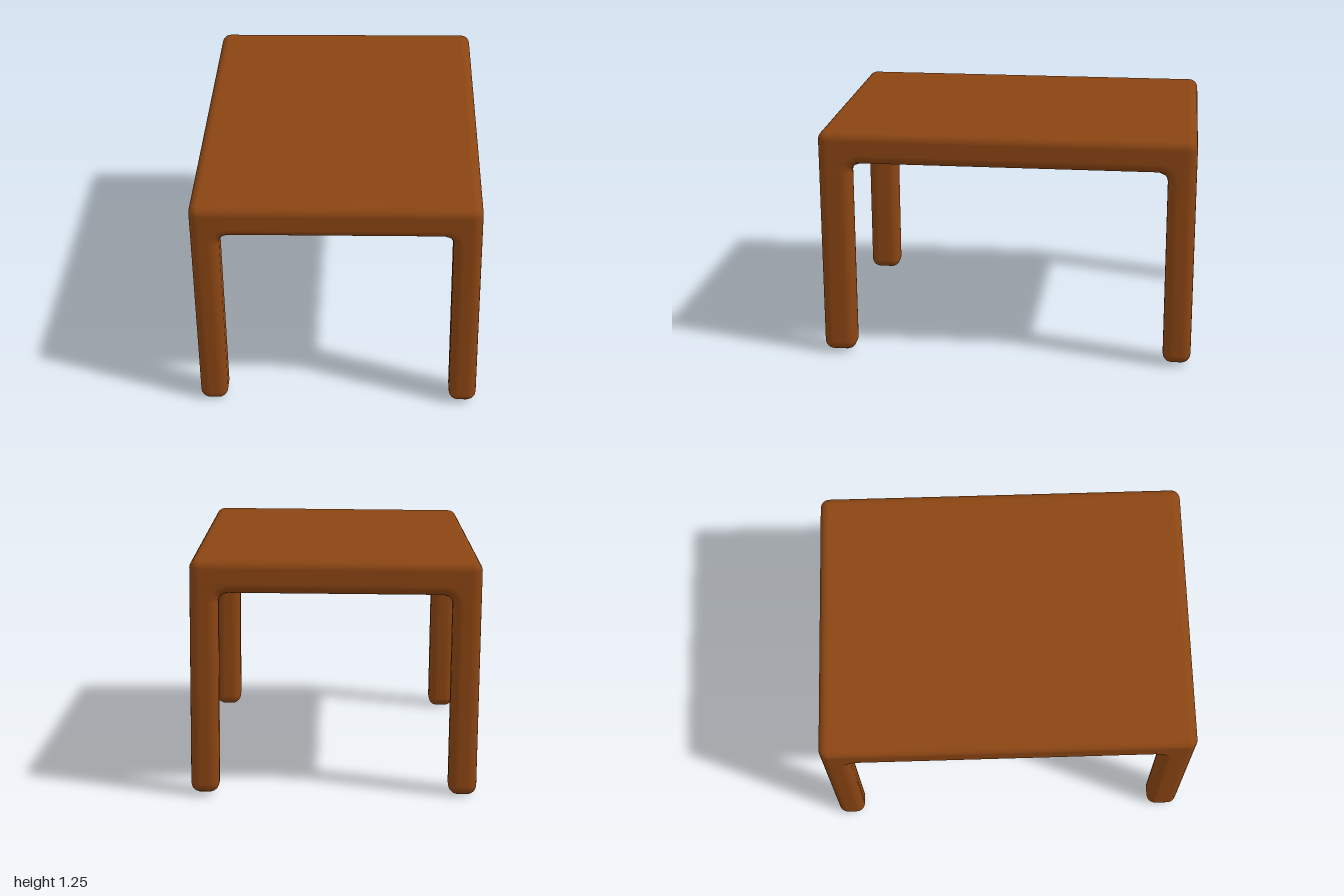
import * as THREE from 'three';
import { RoundedBoxGeometry } from 'three/addons/geometries/RoundedBoxGeometry.js';

const HALF_X = 0.748, HALF_Z = 1, HEIGHT = 1.24, UNDER = 1.063;
const EDGE = 0.05;    // rounding of the convex edges
const FILLET = 0.05;  // rounding where a leg meets the underside
const STEPS = 5;      // segments per rounded corner

// Cross-section of a leg as [u, v] depths from its two outer faces.
// inset shrinks it for the rounded foot, rise is the height into the fillet.
function legSection(w, d, inset, rise) {
  const r = EDGE - inset;
  const flare = FILLET - Math.sqrt(Math.max(FILLET ** 2 - rise ** 2, 0)) - inset;
  const corners = [[], [], [], []];
  for (let i = 0; i <= STEPS; i++) {
    const a = (i / STEPS) * Math.PI / 2;
    const cos = r * (1 - Math.cos(a)), sin = r * (1 - Math.sin(a));
    // the rounded edge follows the fillet out along the table edge
    const rho = FILLET + inset + sin;
    const reach = FILLET - Math.sqrt(Math.max(rho ** 2 - rise ** 2, 0));
    corners[0].push([inset + cos, inset + sin]);
    corners[1].push([w + reach, inset + cos]);
    corners[2].push([w + flare - cos, d + flare - sin]);
    corners[3].unshift([inset + cos, d + reach]);
  }
  return corners.flat();
}

// Leg lofted upwards: rounded foot, straight shaft, fillet into the table top
function legGeometry(w, d, sx, sz) {
  const levels = [];
  for (let i = 0; i <= STEPS; i++) {
    const a = (i / STEPS) * Math.PI / 2;
    levels.push([EDGE * (1 - Math.sin(a)), EDGE * (1 - Math.cos(a))]);
  }
  levels.reverse(); 
  const foot = levels.map(([y, c]) => [EDGE - c, y]).map(([c, y]) => [EDGE - c, y]);
  const rings = foot.map(([inset, y]) => ({ inset, y, rise: 0 }));
  // order the foot from the ground up
  rings.sort((p, q) => p.y - q.y);
  const low = UNDER - FILLET, span = FILLET + EDGE;
  for (let i = 0; i <= 12; i++) {
    const rise = span * Math.sin((i / 12) * Math.PI / 2);
    rings.push({ inset: 0, y: low + rise, rise });
  }

  const pos = [], index = [];
  const flip = sx * sz < 0;
  const face = (a, b, c) => (flip ? index.push(a, b, c) : index.push(a, c, b));
  let n = 0;
  for (const ring of rings) {
    const inset = EDGE - Math.sqrt(Math.max(EDGE ** 2 - Math.max(EDGE - ring.y, 0) ** 2, 0));
    const section = legSection(w, d, Math.min(inset, EDGE * 0.999), ring.rise);
    n = section.length;
    for (const [u, v] of section) pos.push(sx * (HALF_X - u), ring.y, sz * (HALF_Z - v));
  }
  for (let k = 0; k < rings.length - 1; k++) {
    for (let j = 0; j < n; j++) {
      const a = k * n + j, b = k * n + (j + 1) % n;
      face(a, b, a + n);
      face(b, b + n, a + n);
    }
  }
  // sole of the foot
  const centre = pos.length / 3;
  pos.push(sx * (HALF_X - w / 2), 0, sz * (HALF_Z - d / 2));
  for (let j = 0; j < n; j++) face(centre, (j + 1) % n, j);

  const g = new THREE.BufferGeometry();
  g.setAttribute('position', new THREE.Float32BufferAttribute(pos, 3));
  g.setIndex(index);
  g.computeVertexNormals();
  return g;
}

export function createModel() {
  const wood = new THREE.MeshStandardMaterial({ color: 0x8b4513 });
  const table = new THREE.Group();
  table.name = 'table';

  // Table top
  const thick = HEIGHT - UNDER;
  const top = new THREE.Mesh(
    new RoundedBoxGeometry(HALF_X * 2, thick, HALF_Z * 2, STEPS, EDGE), wood);
  top.name = 'tableTop';
  top.position.y = UNDER + thick / 2;
  table.add(top);

  // Four legs, the front pair slightly deeper
  for (const sz of [1, -1]) {
    for (const sx of [1, -1]) {
      const leg = new THREE.Mesh(legGeometry(0.147, sz > 0 ? 0.172 : 0.15, sx, sz), wood);
      leg.name = (sz > 0 ? 'front' : 'back') + (sx > 0 ? 'Left' : 'Right') + 'Leg';
      table.add(leg);
    }
  }

  // The whole table leans very slightly to one side
  table.rotation.z = 0.01;
  table.position.set(0.006, 0.007, 0);

  const model = new THREE.Group();
  model.name = 'model';
  model.add(table);
  return model;
}
